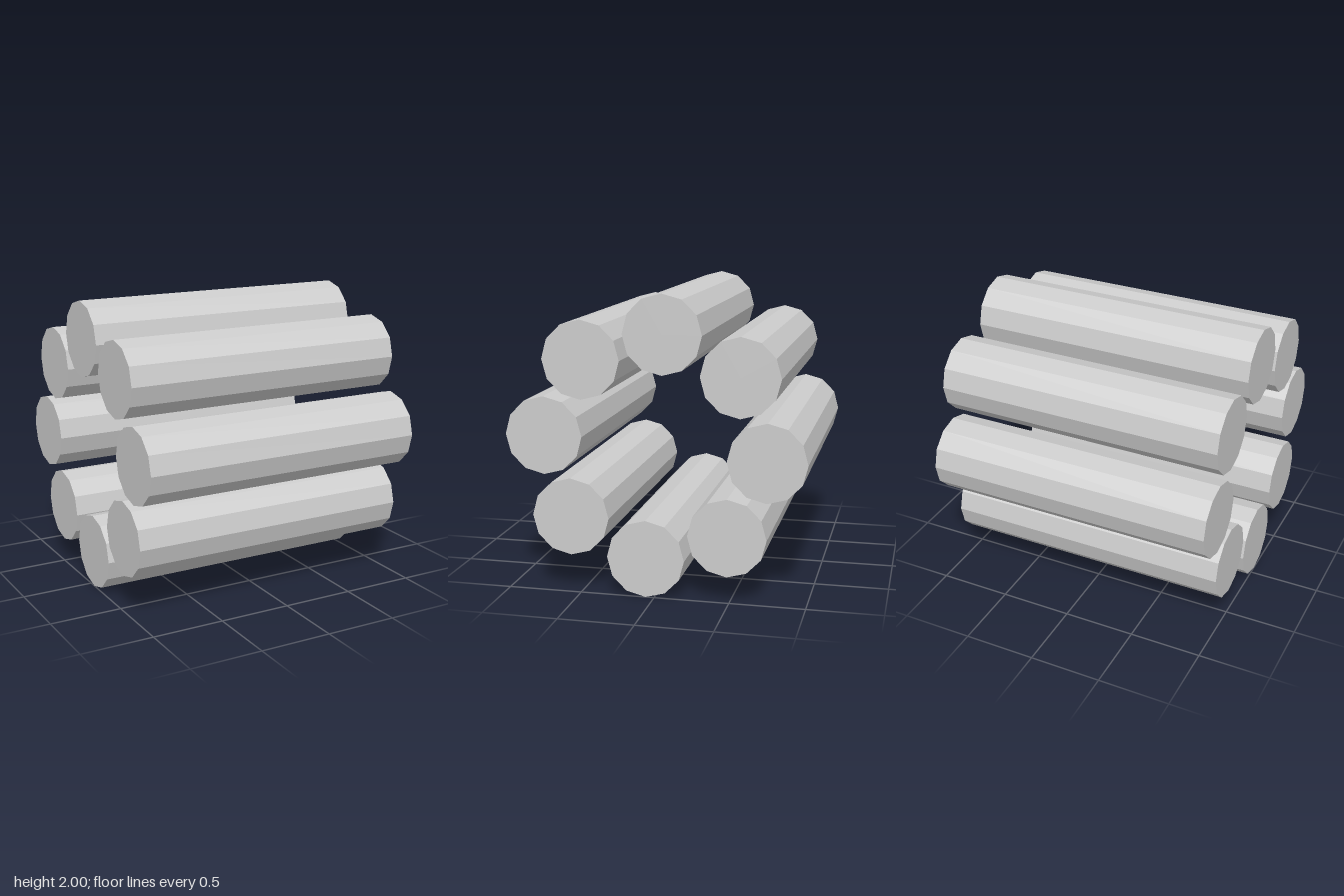
import * as THREE from 'three';

// Ring of eight parallel twelve-sided rods lying along x
const ROD_COUNT = 8;
const ROD_RADIUS = 0.26;
const ROD_LENGTH = 2;
const RING_RADIUS = 0.742;
const RING_TWIST = THREE.MathUtils.degToRad(-4.5);

export function createModel() {
  const group = new THREE.Group();
  group.name = 'rodRing';
  const material = new THREE.MeshStandardMaterial({ color: 0xcccccc, flatShading: true });

  // Corners of each rod point straight up, down and sideways
  const rodGeometry = new THREE.CylinderGeometry(ROD_RADIUS, ROD_RADIUS, ROD_LENGTH, 12);
  rodGeometry.rotateZ(Math.PI / 2);

  // Rods are spaced evenly, all keeping the same orientation
  for (let i = 0; i < ROD_COUNT; i++) {
    const angle = RING_TWIST + (i / ROD_COUNT) * Math.PI * 2;
    const rod = new THREE.Mesh(rodGeometry, material);
    rod.name = `rod${i + 1}`;
    rod.position.set(0, 1 + RING_RADIUS * Math.cos(angle), RING_RADIUS * Math.sin(angle));
    group.add(rod);
  }
  return group;
}
